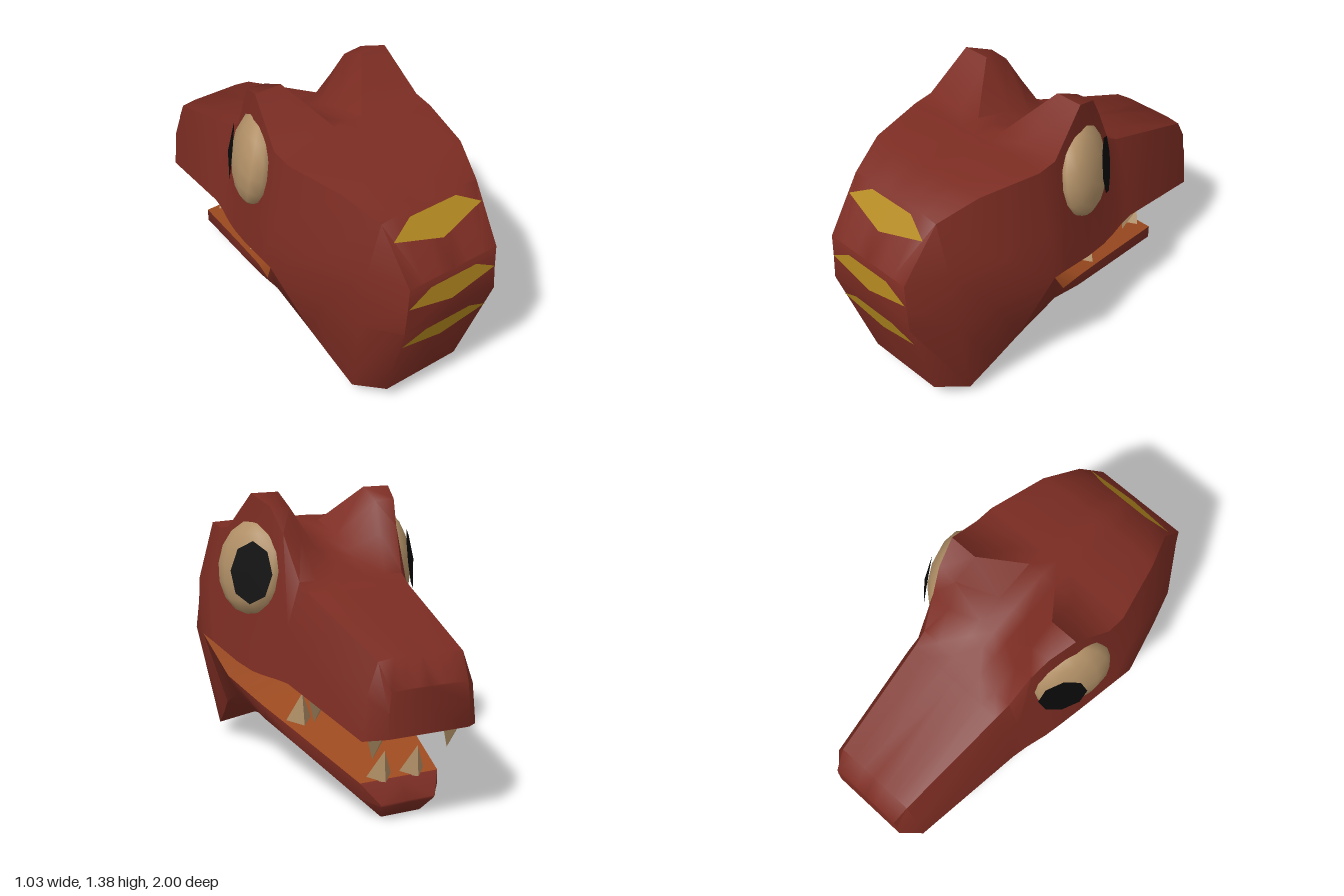
import * as THREE from 'three';
import { mergeGeometries, toCreasedNormals } from 'three/addons/utils/BufferGeometryUtils.js';

const mat = (name, color) => {
  const m = new THREE.MeshStandardMaterial({ color });
  m.name = name;
  return m;
};

// Adds a triangle and its mirror image across x = 0, skipping empty ones
function addTri(out, a, b, c) {
  const [A, B, C] = [a, b, c].map((p) => new THREE.Vector3(...p));
  if (B.clone().sub(A).cross(C.clone().sub(A)).length() < 1e-7) return;
  const m = (p) => [-p[0], p[1], p[2]];
  out.push(...a, ...b, ...c, ...m(a), ...m(c), ...m(b));
}
const addQuad = (out, a, b, c, d) => {
  addTri(out, a, b, c);
  addTri(out, a, c, d);
};
function toGeometry(out) {
  const g = new THREE.BufferGeometry();
  g.setAttribute('position', new THREE.Float32BufferAttribute(out, 3));
  return g;
}

// Skins half cross-sections (top to bottom, ordered from +z to -z), mirrored
function loft(rings, capBack = false, capFront = false) {
  const out = [];
  for (let k = 0; k < rings.length - 1; k++) {
    const p = rings[k], q = rings[k + 1];
    for (let j = 0; j < p.length - 1; j++) addQuad(out, p[j], p[j + 1], q[j + 1], q[j]);
  }
  const axis = (p) => [0, p[1], p[2]];
  const cap = (ring, flip) => {
    for (let j = 0; j < ring.length - 1; j++) {
      const a = ring[j], b = ring[j + 1];
      if (flip) addQuad(out, axis(a), a, b, axis(b));
      else addQuad(out, axis(a), axis(b), b, a);
    }
  };
  if (capBack) cap(rings[0], false);
  if (capFront) cap(rings[rings.length - 1], true);
  return toGeometry(out);
}
const ring = (z, ...pts) => pts.map(([x, y, pz]) => [x, y, pz ?? z]);

export function createModel() {
  const group = new THREE.Group();
  const red = mat('red skin', 0x7b2c22);
  const yellow = mat('yellow marking', 0xb58a20);
  const orange = mat('orange mouth lining', 0x9e4b20);
  const cream = mat('cream eye and tooth', 0xb08f66);
  const black = mat('black pupil', 0x0a0a0a);
  const add = (name, geo, material, parent = group) => {
    const m = new THREE.Mesh(geo, material);
    m.name = name;
    parent.add(m);
    return m;
  };
  const smooth = (g) => toCreasedNormals(g, 1.0);

  // Back of the head and neck: crown, crown edge, brow line, temple, cheek, jaw corner, neck edge, underside
  const neck = [
    ring(1.0, [0, 0.84], [0.08, 0.84], [0.17, 0.84], [0.25, 0.84], [0.255, 0.72], [0.265, 0.59], [0.21, 0.09, 0.84], [0, 0.09, 0.84]),
    ring(0.82, [0, 1.1], [0.08, 1.1], [0.18, 1.1], [0.27, 1.09], [0.34, 0.85], [0.375, 0.57], [0.3, 0.05, 0.69], [0, 0.09, 0.7]),
    ring(0.63, [0, 1.17], [0.08, 1.17], [0.2, 1.17], [0.34, 1.165], [0.42, 0.88], [0.435, 0.6], [0.33, 0.15, 0.55], [0, 0.15, 0.56]),
    ring(0.34, [0, 1.19], [0.08, 1.19], [0.2, 1.19], [0.41, 1.18], [0.475, 0.88], [0.515, 0.65], [0.36, 0.25, 0.42], [0, 0.23, 0.42]),
  ];
  // Upper head and snout: crown, crown edge, brow crest, temple, cheek, lip
  const snout = [
    neck[3].slice(0, 6),
    ring(0.24, [0, 1.2], [0.08, 1.2], [0.2, 1.2], [0.41, 1.195], [0.465, 0.86], [0.495, 0.625]),
    ring(0.04, [0, 1.15], [0.08, 1.15], [0.23, 1.38], [0.37, 1.38], [0.405, 0.95], [0.455, 0.57]),
    ring(-0.09, [0, 1.1], [0.08, 1.1], [0.23, 1.32], [0.33, 1.33], [0.36, 0.92], [0.43, 0.55]),
    ring(-0.17, [0, 1.06], [0.08, 1.06], [0.21, 1.18], [0.3, 1.21], [0.335, 0.9], [0.415, 0.55]),
    ring(-0.28, [0, 1.0], [0.08, 1.0], [0.18, 1.0], [0.27, 1.0], [0.33, 0.8], [0.385, 0.55]),
    ring(-0.36, [0, 0.97], [0.08, 0.97], [0.17, 0.97], [0.26, 0.96], [0.33, 0.76], [0.37, 0.55]),
    ring(-0.92, [0, 0.78], [0.07, 0.78], [0.13, 0.78], [0.21, 0.77], [0.265, 0.62], [0.285, 0.43]),
    ring(-1.0, [0, 0.66], [0.06, 0.66], [0.12, 0.66], [0.19, 0.655], [0.2, 0.56], [0.2, 0.45]),
  ];
  add('head', smooth(mergeGeometries([loft(neck, true), loft(snout, false, true)])), red);

  // Roof of the mouth
  const palate = snout.map((r) => [r[5], [0, r[5][1], r[5][2]]]);
  add('palate', smooth(loft(palate)), orange);

  // Lower jaw: rim, outer crease, bottom edge, underside
  const jaw = [
    [neck[3][5], neck[3][6], [0.2, 0.23, 0.42], neck[3][7]],
    ring(0.2, [0.44, 0.455], [0.385, 0.36], [0.25, 0.225], [0, 0.225]),
    ring(-0.02, [0.35, 0.35], [0.34, 0.28], [0.21, 0.2], [0, 0.2]),
    ring(-0.3, [0.29, 0.28], [0.29, 0.215], [0.17, 0.16], [0, 0.16]),
    ring(-0.75, [0.2, 0.17], [0.2, 0.1], [0.1, 0, -0.745], [0, 0, -0.745]),
    ring(-0.83, [0.14, 0.085], [0.135, 0.075], [0.1, 0, -0.765], [0, 0, -0.765]),
  ];
  const floor = jaw.map((r) => [[0, r[0][1], r[0][2]], r[0]]);
  add('lowerJaw', smooth(mergeGeometries([loft(jaw, false, true), loft(floor.slice(-2))])), red);
  add('mouthFloor', smooth(loft(floor.slice(0, -1))), orange);

  // Tongue: a narrow trough with an orange top and a yellow underside
  const tongue = [
    [[0, 0.64, 0.33], [0.5, 0.65, 0.335]],
    [[0, 0.465, 0.2], [0.17, 0.6, 0.22]],
    [[0, 0.37, -0.06], [0.07, 0.435, -0.1]],
    [[0, 0.29, -0.48], [0.04, 0.335, -0.5]],
    [[0, 0.308, -0.64], [0.01, 0.312, -0.64]],
  ];
  add('tongueTop', loft(tongue), orange).geometry.computeVertexNormals();
  add('tongueUnderside', loft(tongue.map((r) => [r[1], r[0]])), yellow).geometry.computeVertexNormals();

  // Three stripes lying on the back of the head
  const stripes = [
    [1.08, 1.02, 0.96, (y) => 0.826 + ((1.1 - y) * 0.18) / 0.26],
    [0.8, 0.73, 0.67, () => 1.004],
    [0.545, 0.48, 0.415, (y) => 1.005 - (0.59 - y) * 0.32],
  ];
  for (const [top, mid, low, z] of stripes) {
    const out = [];
    const p = (x, y) => [x, y, z(y)];
    addTri(out, p(0, top), p(0, low), p(0.25, mid));
    addTri(out, p(0, top), p(0.25, mid), p(0.13, top));
    const g = toGeometry(out);
    g.computeVertexNormals();
    add('stripe', g, yellow);
  }

  // Four-sided tooth whose tip leans along z
  function tooth(name, x, y, z, radius, height, lean, down) {
    const g = new THREE.ConeGeometry(radius, height, 4).translate(0, height / 2, 0);
    if (down) g.rotateX(Math.PI);
    const pos = g.attributes.position;
    for (let i = 0; i < pos.count; i++) {
      pos.setZ(i, pos.getZ(i) + (lean * Math.abs(pos.getY(i))) / height);
    }
    const flat = g.toNonIndexed();
    flat.computeVertexNormals();
    add(name, flat, cream).position.set(x, y, z);
  }

  for (const s of [1, -1]) {
    tooth('upperSideTooth', s * 0.27, 0.545, -0.495, 0.07, 0.175, 0.065, true);
    tooth('upperFrontTooth', s * 0.19, 0.45, -0.885, 0.055, 0.14, 0.045, true);
    tooth('lowerSideTooth', s * 0.23, 0.29, -0.17, 0.075, 0.16, -0.05, false);
    tooth('lowerFrontTooth', s * 0.085, 0.165, -0.705, 0.07, 0.145, -0.06, false);

    // Domed eye turned outward, toward the snout and slightly up
    const eye = new THREE.Group();
    eye.name = s > 0 ? 'leftEye' : 'rightEye';
    group.add(eye);
    const ball = add('eyeball', new THREE.SphereGeometry(1, 12, 8), cream, eye);
    ball.scale.set(0.205, 0.228, 0.1);
    ball.position.set(s * 0.376, 1.03, 0.02);
    ball.rotation.set(-0.16, s * (Math.PI / 2 + 0.42), 0, 'YXZ');

    // Pupil: thin eight-sided plate, slightly bulged
    const disc = new THREE.CircleGeometry(1, 8);
    disc.attributes.position.setZ(0, 0.018);
    const pupil = add('pupil', disc, black, eye);
    pupil.scale.set(0.116, 0.148, 1);
    pupil.position.set(s * 0.428, 1.025, -0.088);
    pupil.rotation.set(-0.12, s * (Math.PI / 2 + 0.6), 0, 'YXZ');
  }
  return group;
}
